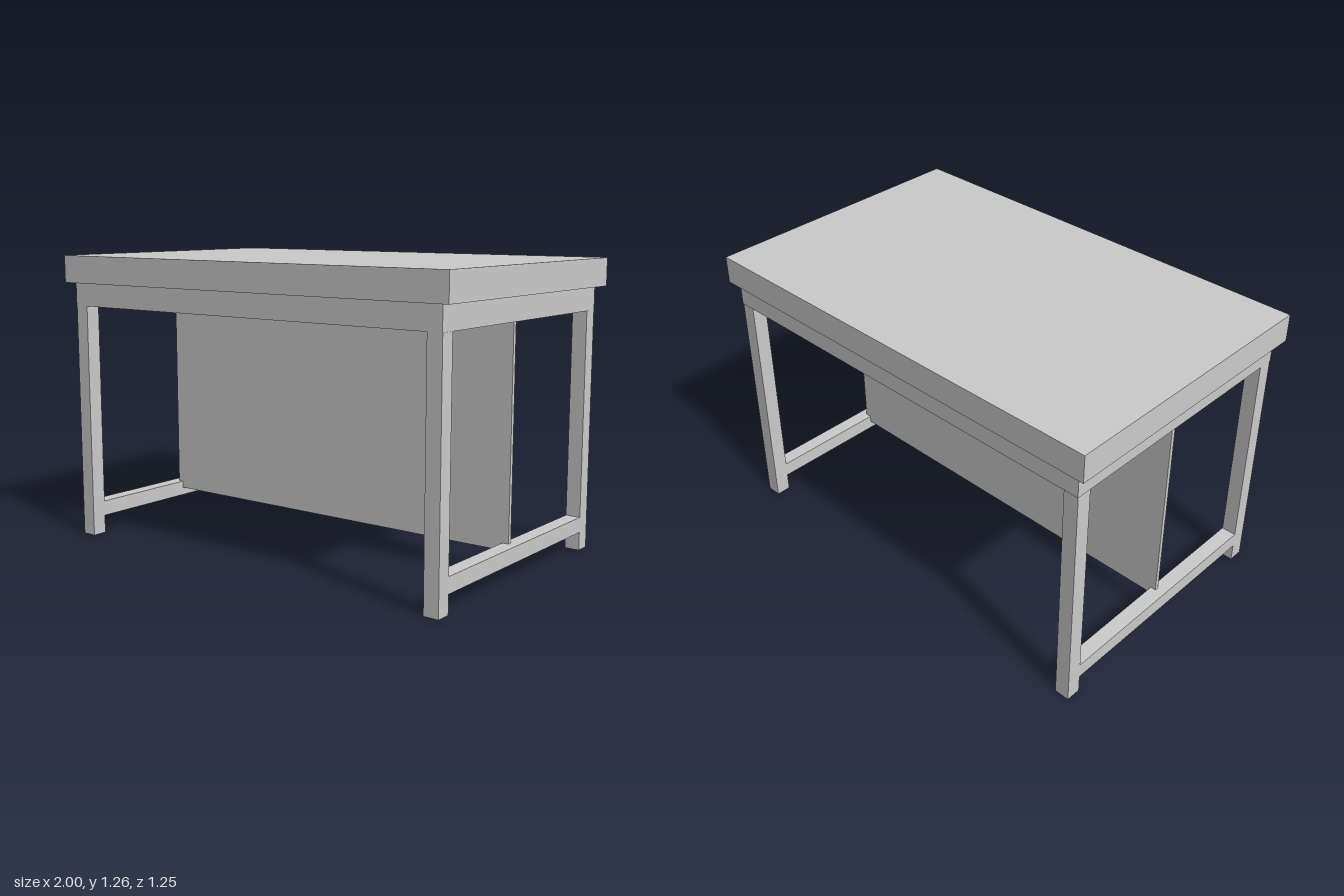
import * as THREE from 'three';

export function createModel() {
  const model = new THREE.Group();
  const material = new THREE.MeshStandardMaterial({ color: 0xcccccc, flatShading: true });

  // Box given by its [min, max] range on each axis
  function box(name, [x0, x1], [y0, y1], [z0, z1]) {
    const mesh = new THREE.Mesh(new THREE.BoxGeometry(x1 - x0, y1 - y0, z1 - z0), material);
    mesh.position.set((x0 + x1) / 2, (y0 + y1) / 2, (z0 + z1) / 2);
    mesh.name = name;
    model.add(mesh);
  }

  const apronY = [1.042, 1.144], railY = [0.08, 0.147];
  const frontZ = [0.533, 0.599], backZ = [-0.595, -0.529];
  const apronX = 0.959, apronZ = 0.599, apronDepth = 0.102;

  box('tableTop', [-1, 1], [1.144, 1.264], [-0.625, 0.625]);

  // Legs and low side rails
  for (const [side, x] of [['left', [0.894, 0.96]], ['right', [-0.957, -0.891]]]) {
    box(side + 'FrontLeg', x, [0, apronY[0]], frontZ);
    box(side + 'BackLeg', x, [0, apronY[0]], backZ);
    box(side + 'LowerRail', x, railY, [backZ[1], frontZ[0]]);
  }

  // Frame of square beams under the top, thicker than the legs
  const innerX = apronX - apronDepth, innerZ = apronZ - apronDepth;
  box('frontApron', [-apronX, apronX], apronY, [innerZ, apronZ]);
  box('backApron', [-apronX, apronX], apronY, [-apronZ, -innerZ]);
  box('leftApron', [innerX, apronX], apronY, [-innerZ, innerZ]);
  box('rightApron', [-apronX, -innerX], apronY, [-innerZ, innerZ]);

  // Thin modesty panel let into the side rails and aprons
  box('modestyPanel', [-0.915, 0.922], [0.116, 1.093], [0.009, 0.027]);

  return model;
}
